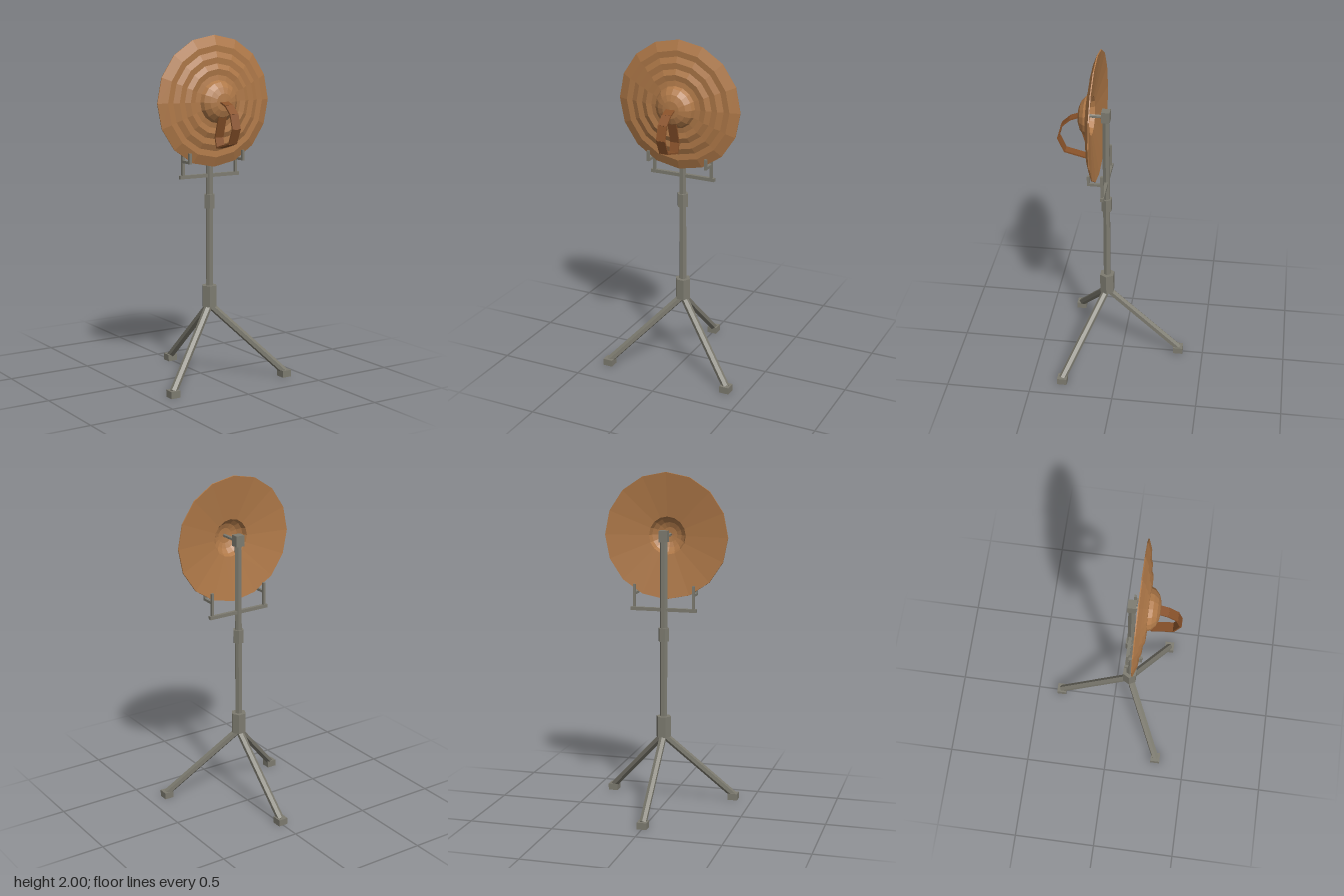
import * as THREE from 'three';

const mat = (name, color) => {
  const m = new THREE.MeshStandardMaterial({ color });
  m.name = name;
  m.flatShading = true;
  return m;
};

export function createModel() {
  const steel = mat('grey steel', 0x7d7b70);
  const bronze = mat('bronze', 0xb17a49);
  const leather = mat('brown leather', 0x89522a);

  const model = new THREE.Group();
  model.name = 'gongOnStand';
  const POLE_Z = 0.095, DISC_Y = 1.628;

  const add = (name, geometry, material, x = 0, y = 0, z = 0, parent = model) => {
    const mesh = new THREE.Mesh(geometry, material);
    mesh.name = name;
    mesh.position.set(x, y, z);
    parent.add(mesh);
    return mesh;
  };
  const box = (name, w, h, d, x, y, z, material = steel) =>
    add(name, new THREE.BoxGeometry(w, h, d), material, x, y, z);
  // upright six-sided tube with corners toward the sides
  const hexTube = (name, r, y0, y1) =>
    add(name, new THREE.CylinderGeometry(r, r, y1 - y0, 6).rotateY(Math.PI / 6), steel, 0, (y0 + y1) / 2, POLE_Z);

  // Pole
  hexTube('pole', 0.022, 0.44, 1.62);
  hexTube('hub', 0.046, 0.43, 0.555);
  hexTube('collar', 0.033, 1.01, 1.09);
  box('topBlock', 0.052, 0.066, 0.048, 0, 1.632, POLE_Z);
  add('axle', new THREE.CylinderGeometry(0.011, 0.011, 0.14, 6).rotateX(Math.PI / 2), steel, 0, DISC_Y, 0.167);

  // Three legs with square feet
  const from = new THREE.Vector3(0, 0.44, 0), to = new THREE.Vector3(0, 0.03, -0.443);
  const along = to.clone().sub(from);
  for (let i = 0; i < 3; i++) {
    const angle = (i * 2 * Math.PI) / 3;
    const pivot = new THREE.Group();
    pivot.name = 'leg' + (i + 1);
    pivot.position.z = POLE_Z;
    pivot.rotation.y = angle;
    model.add(pivot);
    const tube = add('legTube', new THREE.CylinderGeometry(0.022, 0.022, along.length(), 6), steel, 0, 0, 0, pivot);
    tube.position.copy(from).add(to).multiplyScalar(0.5);
    tube.quaternion.setFromUnitVectors(new THREE.Vector3(0, 1, 0), along.clone().normalize());
    box('foot' + (i + 1), 0.058, 0.04, 0.058,
      -0.443 * Math.sin(angle), 0.02, POLE_Z - 0.443 * Math.cos(angle));
  }

  // Cradle holding the lower rim
  box('crossBar', 0.4, 0.02, 0.02, 0, 1.2, 0.093);
  for (const side of [-1, 1]) {
    const x = side * 0.18;
    box('cradleUpright', 0.015, 0.15, 0.015, x, 1.27, 0.095);
    box('cradleArm', 0.015, 0.015, 0.085, x, 1.29, 0.136);
    box('cradleProng', 0.015, 0.058, 0.015, x, 1.314, 0.171);
  }

  // Ringed disc with a hollow central boss: back profile, rim, then front profile
  const profile = [
    [0, 0.238], [0.045, 0.234], [0.075, 0.222], [0.1, 0.2], [0.112, 0.172],
    [0.373, 0.136], [0.374, 0.142],
    [0.318, 0.163], [0.283, 0.161], [0.25, 0.175], [0.215, 0.173],
    [0.185, 0.187], [0.152, 0.182], [0.122, 0.187],
    [0.112, 0.21], [0.085, 0.234], [0.05, 0.247], [0, 0.251],
  ].map(([r, z]) => new THREE.Vector2(r, z));
  add('disc', new THREE.LatheGeometry(profile, 16).rotateX(Math.PI / 2), bronze, 0, DISC_Y, 0);

  // Strap looped from the boss, as flat bands along a [z, y] path
  const strap = new THREE.Group();
  strap.name = 'strap';
  model.add(strap);
  const path = [
    [0.24, 1.63], [0.295, 1.61], [0.344, 1.565], [0.367, 1.485],
    [0.33, 1.402], [0.208, 1.37], [0.193, 1.427], [0.232, 1.56],
  ];
  for (let i = 0; i < path.length - 1; i++) {
    const [z0, y0] = path[i], [z1, y1] = path[i + 1];
    const length = Math.hypot(z1 - z0, y1 - y0) + 0.006;
    const band = add('strapBand', new THREE.BoxGeometry(0.054, 0.009, length), leather,
      0, (y0 + y1) / 2, (z0 + z1) / 2, strap);
    band.rotation.x = -Math.atan2(y1 - y0, z1 - z0);
  }
  return model;
}
